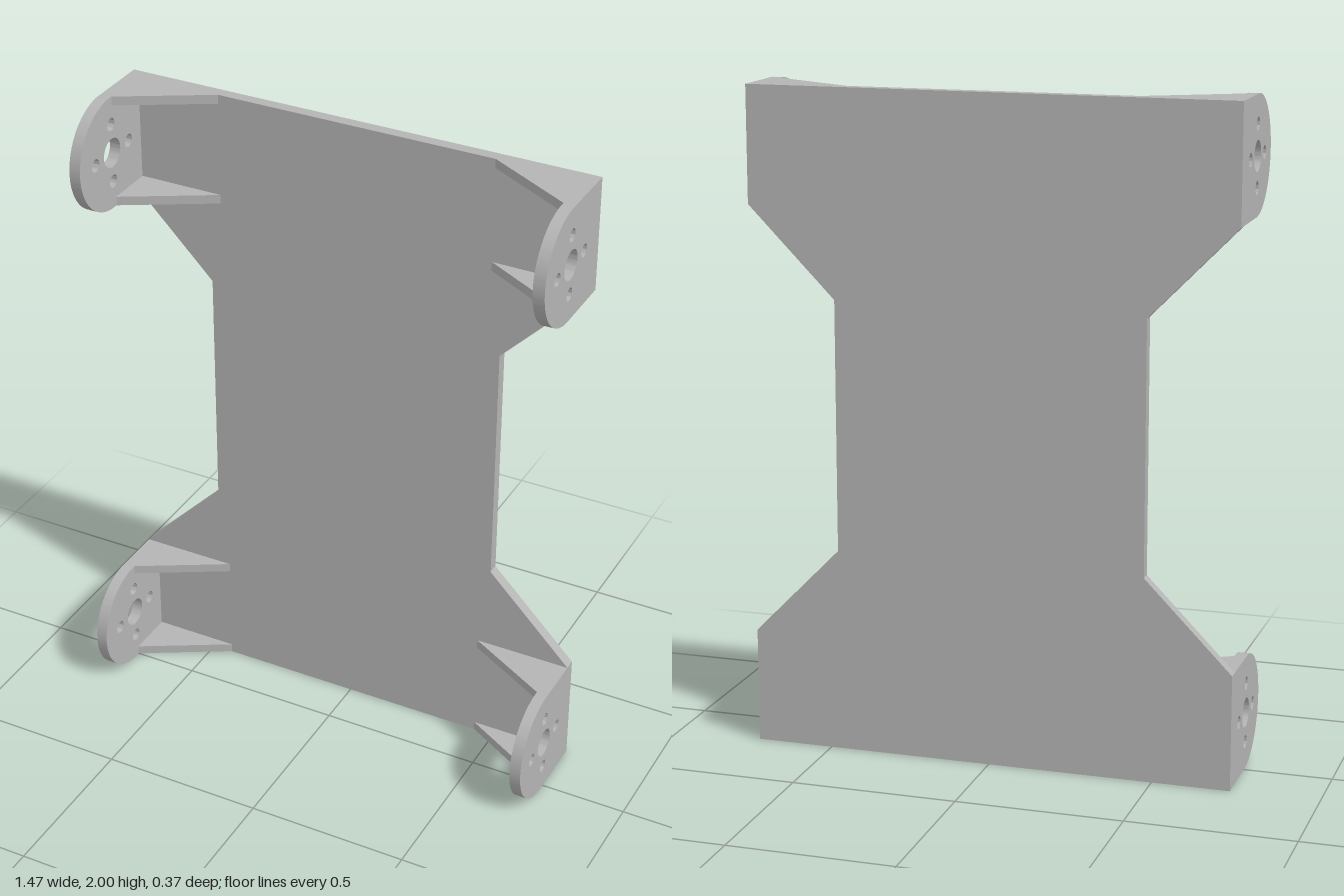
import * as THREE from 'three';
import { toCreasedNormals } from 'three/addons/utils/BufferGeometryUtils.js';

const HALF_W = 0.735, WAIST = 0.47;         // half widths of the plate
const BACK = -0.185, WALL = 0.035;          // rear plane and sheet thickness
const TAB_H = 0.35, R = TAB_H / 2, HUB_Z = 0.01;
const RIB = 0.028;

const metal = new THREE.MeshStandardMaterial({ color: 0xb4b4b4 });
metal.name = 'grey metal';

function extrude(shape, depth) {
  return new THREE.ExtrudeGeometry(shape, { depth, bevelEnabled: false, curveSegments: 32 });
}

function polygon(points) {
  return new THREE.Shape(points.map(([x, y]) => new THREE.Vector2(x, y)));
}

function part(name, geometry, parent) {
  const mesh = new THREE.Mesh(geometry, metal);
  mesh.name = name;
  parent.add(mesh);
  return mesh;
}

// Round-ended lug with a bore and four screw holes, drawn in (z, y)
function lugGeometry() {
  const s = new THREE.Shape();
  s.moveTo(BACK, 0);
  s.lineTo(HUB_Z, 0);
  s.absarc(HUB_Z, R, R, -Math.PI / 2, Math.PI / 2, false);
  s.lineTo(BACK, TAB_H);
  s.closePath();
  const hole = (z, y, r) => s.holes.push(new THREE.Path().absarc(z, y, r, 0, Math.PI * 2, true));
  hole(HUB_Z, R, 0.045);
  for (let i = 0; i < 4; i++) {
    const a = (i * Math.PI) / 2;
    hole(HUB_Z + 0.091 * Math.cos(a), R + 0.091 * Math.sin(a), 0.02);
  }
  return toCreasedNormals(extrude(s, WALL).rotateY(-Math.PI / 2), 0.5);
}

// Triangular rib between plate and lug, drawn in (x, -z)
function ribGeometry(side) {
  const inner = HALF_W - WALL, floor = -(BACK + WALL);
  const s = polygon([[side * inner, floor], [side * inner, 0], [side * 0.435, floor]]);
  return extrude(s, RIB).rotateX(-Math.PI / 2);
}

export function createModel() {
  const model = new THREE.Group();
  model.name = 'mountingBracket';

  // Waisted back plate
  const right = [[HALF_W, 0], [HALF_W, TAB_H], [WAIST, 0.62], [WAIST, 1.38], [HALF_W, 2 - TAB_H], [HALF_W, 2]];
  const left = right.map(([x, y]) => [-x, y]).reverse();
  part('backPlate', extrude(polygon([...right, ...left]), WALL), model).position.z = BACK;

  // Four corners, each a lug with two ribs
  const lug = lugGeometry();
  for (const side of [-1, 1]) {
    const rib = ribGeometry(side);
    for (const y of [0, 2 - TAB_H]) {
      const corner = new THREE.Group();
      corner.name = (y ? 'upper' : 'lower') + (side > 0 ? 'Left' : 'Right') + 'Mount';
      corner.position.y = y;
      part('lug', lug, corner).position.x = side > 0 ? HALF_W : -HALF_W + WALL;
      part('lowerRib', rib, corner);
      part('upperRib', rib, corner).position.y = TAB_H - RIB;
      model.add(corner);
    }
  }
  return model;
}
